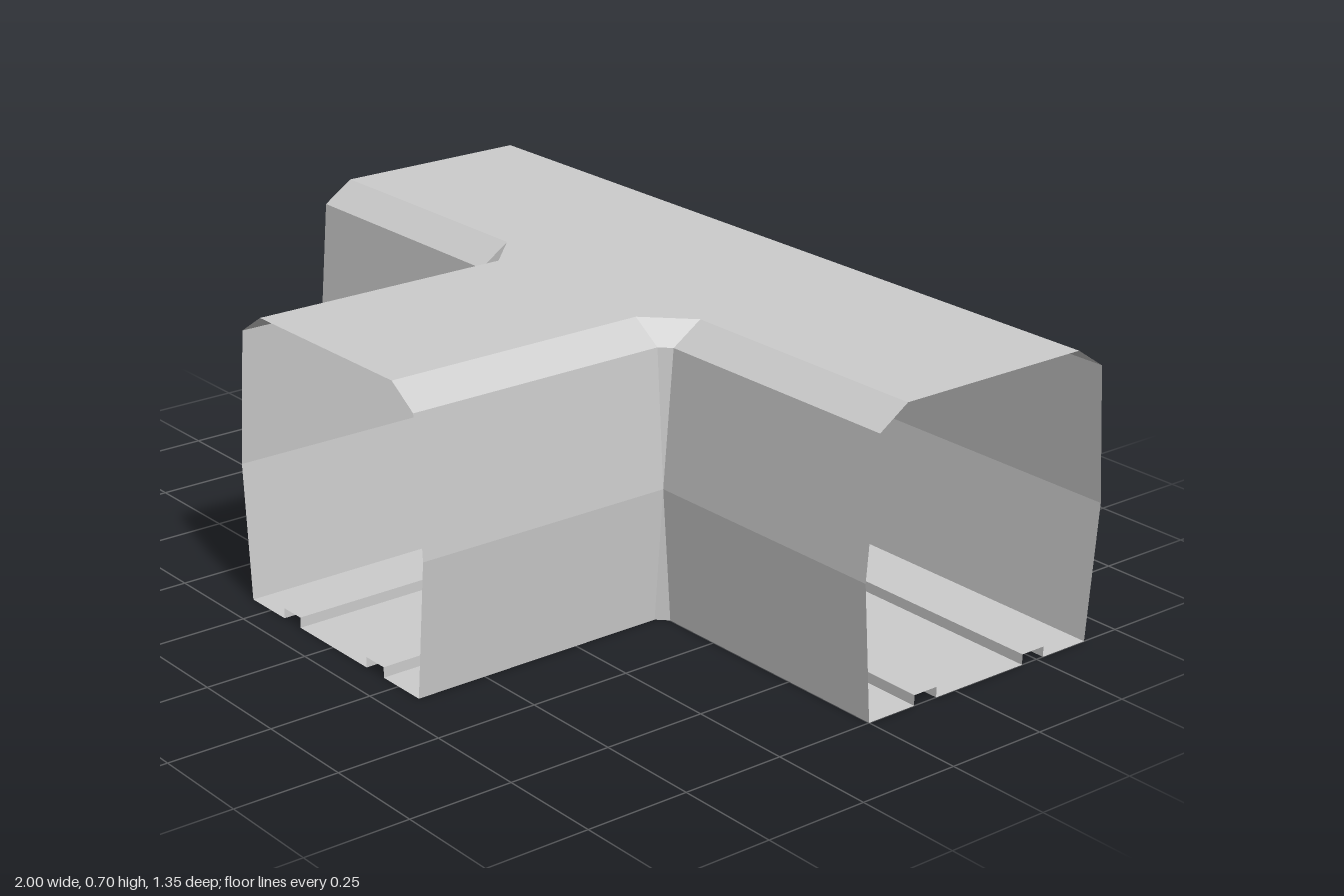
import * as THREE from 'three';

const material = new THREE.MeshStandardMaterial({
  color: 0xcccccc, flatShading: true, side: THREE.DoubleSide,
});

// Half cross-section of the tunnel: [half width, height]
const PROFILE = [[0.325, 0], [0.35, 0.325], [0.325, 0.65], [0.25, 0.7]];
const AXIS = -0.325;   // z of the main tunnel's centre line
const END = 0.675;     // open end of the branch
const CORNER = 0.35;   // where the main walls stop beside the branch
const MOUTH = 0.025;   // where the branch walls start
const STEP = 0.025;    // groove height in the floor
const G0 = 0.13, G1 = 0.195, CUT = 0.015; // groove edges and corner cut

// Surface through columns of points, ordered left to right seen from outside
function loft(name, columns) {
  const pos = [];
  const tri = (a, b, c) => {
    const area = new THREE.Triangle(a, b, c).getArea();
    if (area > 1e-7) for (const p of [a, b, c]) pos.push(p.x, p.y, p.z);
  };
  for (let i = 0; i + 1 < columns.length; i++) {
    const l = columns[i], r = columns[i + 1];
    for (let j = 0; j + 1 < l.length; j++) {
      tri(l[j], r[j], r[j + 1]);
      tri(l[j], r[j + 1], l[j + 1]);
    }
  }
  const g = new THREE.BufferGeometry();
  g.setAttribute('position', new THREE.Float32BufferAttribute(pos, 3));
  g.computeVertexNormals();
  return named(name, g);
}

// Horizontal sheet from an outline of [x, z] points
function sheet(name, outline, y, up) {
  const sign = up ? -1 : 1;
  const g = new THREE.ShapeGeometry(
    new THREE.Shape(outline.map(([x, z]) => new THREE.Vector2(x, sign * z))));
  g.rotateX(sign * Math.PI / 2).translate(0, y, 0);
  return named(name, g);
}

// Low vertical wall of a floor groove along a path of [x, z] points
const grooveWall = (path) => loft('grooveWall', path.map(([x, z]) =>
  [new THREE.Vector3(x, 0, z), new THREE.Vector3(x, STEP, z)]));

function named(name, geometry) {
  const mesh = new THREE.Mesh(geometry, material);
  mesh.name = name;
  return mesh;
}

const column = (fn) => PROFILE.map(([w, y]) => {
  const [x, z] = fn(w);
  return new THREE.Vector3(x, y, z);
});
const mirror = (path) => path.map(([x, z]) => [-x, z]);
const rect = (z0, z1) => [[-1, z0], [1, z0], [1, z1], [-1, z1]];

export function createModel() {
  const model = new THREE.Group();
  model.name = 'tJunctionTunnel';
  const floor = new THREE.Group();
  floor.name = 'floor';
  model.add(floor);

  // Back wall with its sloped shoulder
  model.add(loft('backWall', [1, -1].map((x) => column((w) => [x, AXIS - w]))));

  // Front walls turning through a narrow corner into the branch walls
  for (const s of [-1, 1]) {
    const cols = [
      column((w) => [s, AXIS + w]),
      column((w) => [s * CORNER, AXIS + w]),
      column((w) => [s * w, MOUTH]),
      column((w) => [s * w, END]),
    ];
    if (s > 0) cols.reverse();
    model.add(loft(s > 0 ? 'leftWall' : 'rightWall', cols));
  }

  // Flat T-shaped roof
  const roofSide = [[0.25, END], [0.25, MOUTH], [CORNER, -0.075], [1, -0.075], [1, -0.575]];
  model.add(sheet('roof', [...roofSide, ...mirror(roofSide).reverse()], 0.7, true));

  // Floor behind the rear groove, and the rear groove itself
  floor.add(sheet('backFloor', rect(-0.65, AXIS - G1), 0, false));
  floor.add(sheet('rearGroove', rect(AXIS - G1, AXIS - G0), STEP, false));
  for (const z of [AXIS - G1, AXIS - G0]) floor.add(grooveWall([[-1, z], [1, z]]));

  // Middle floor, bounded by the grooves that bend into the branch
  const inner = [[G0, END], [G0, AXIS + G0 + CUT], [G0 + CUT, AXIS + G0], [1, AXIS + G0]];
  const outer = [[G1, END], [G1, AXIS + G1], [1, AXIS + G1]];
  const middle = [...inner, [1, AXIS - G0]];
  floor.add(sheet('middleFloor', [...middle, ...mirror(middle).reverse()], 0, false));

  // Bent grooves and the floor corners outside them
  const edge = [[1, 0], [CORNER, 0], [0.325, MOUTH], [0.325, END]];
  for (const flip of [(p) => p, mirror]) {
    floor.add(sheet('bentGroove', flip([...inner, ...[...outer].reverse()]), STEP, false));
    floor.add(sheet('cornerFloor', flip([...outer, ...edge]), 0, false));
    floor.add(grooveWall(flip(inner)), grooveWall(flip(outer)));
  }
  return model;
}
